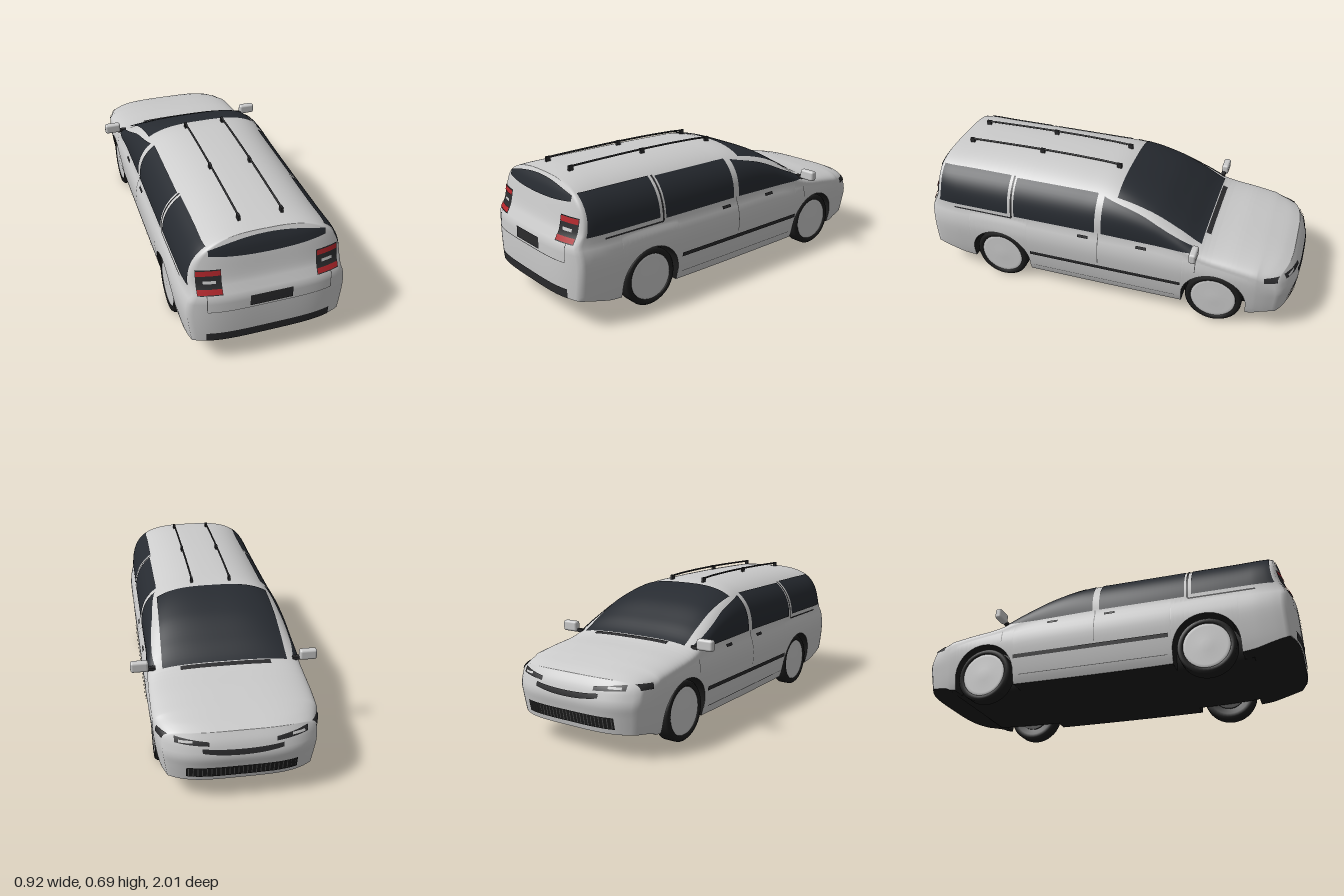
import * as THREE from 'three';
import { mergeGeometries, mergeVertices } from 'three/addons/utils/BufferGeometryUtils.js';
import { RoundedBoxGeometry } from 'three/addons/geometries/RoundedBoxGeometry.js';

const material = (color) => new THREE.MeshStandardMaterial({ color, side: THREE.DoubleSide });
const lerp = THREE.MathUtils.lerp;

// Smooth curve through [x, y] points
function curve(pts) {
  const slope = (i) => {
    const a = pts[Math.max(i - 1, 0)], b = pts[Math.min(i + 1, pts.length - 1)];
    return (b[1] - a[1]) / (b[0] - a[0]);
  };
  return (x) => {
    if (x <= pts[0][0]) return pts[0][1];
    if (x >= pts[pts.length - 1][0]) return pts[pts.length - 1][1];
    let i = 0;
    while (x > pts[i + 1][0]) i++;
    const h = pts[i + 1][0] - pts[i][0], t = (x - pts[i][0]) / h, t2 = t * t, t3 = t2 * t;
    return (2 * t3 - 3 * t2 + 1) * pts[i][1] + (t3 - 2 * t2 + t) * h * slope(i)
      + (3 * t2 - 2 * t3) * pts[i + 1][1] + (t3 - t2) * h * slope(i + 1);
  };
}

// Body rules along s, from nose (-1) to tail (+1)
const roofY = curve([[-1, .355], [-.95, .371], [-.85, .39], [-.7, .415], [-.52, .44], [-.4, .51], [-.26, .587],
  [-.06, .652], [.1, .667], [.4, .672], [.7, .667], [.9, .66], [1, .655]]);
const beltY = curve([[-1, .27], [-.85, .31], [-.7, .34], [-.5, .37], [-.3, .4], [0, .4], [1, .4]]);
const power = curve([[-1, 5], [-.85, 3.2], [-.6, 2.8], [-.4, 3.3], [-.2, 3.2], [.1, 2.6], [.7, 2.6], [1, 3]]);
const taper = curve([[-1, .9], [-.9, .95], [-.75, .985], [-.5, 1], [.8, 1], [.93, .985], [1, .96]]);
const flankX = curve([[.06, .345], [.1, .362], [.2, .38], [.3, .389], [.36, .381], [.4, .366]]);
const sillY = curve([[-1, .115], [-.85, .1], [-.78, .085], [-.4, .075], [.35, .075], [.75, .09], [1, .14]]);
const tailZ = curve([[.1, .985], [.14, 1], [.38, 1], [.41, .985], [.45, .965], [.6, .93], [.66, .9]]);
const noseZ = curve([[.1, -.97], [.2, -.99], [.25, -.997], [.31, -.98], [.36, -.95]]);
const axles = [-.6, .57], archR = .165, axleY = .145;

const rearZ = (x, y) => tailZ(y) - .06 * (x / .39) ** 4;
const frontZ = (x, y) => noseZ(y) + .12 * (x / .39) ** 4;
function place(s, x, y) {
  const k = (Math.abs(s) - .8) / .2;
  return [x, y, k <= 0 ? s : s > 0 ? lerp(.8, rearZ(x, y), k) : lerp(-.8, frontZ(x, y), k)];
}
function edgeY(s) {
  for (const a of axles) {
    const d = Math.abs(s - a);
    if (d <= archR + 1e-6) return .14 + Math.sqrt(Math.max(0, archR * archR - d * d));
  }
  return sillY(s);
}
function section(s, v) {
  const t = 1 - Math.abs(2 * v - 1), sign = v < .5 ? 1 : -1, S = beltY(s);
  if (t <= .3) {
    const y = lerp(edgeY(s), S, t / .3);
    return [sign * flankX(y) * taper(s), y];
  }
  const a = (t - .3) / .7 * Math.PI / 2, e = 2 / power(s);
  return [sign * flankX(S) * taper(s) * Math.max(0, Math.cos(a)) ** e, S + (roofY(s) - S) * Math.sin(a) ** e];
}
// Points on the body skin
function onSide(s, y) {
  const S = beltY(s), n = power(s), k = Math.min(1, (y - S) / (roofY(s) - S));
  const x = taper(s) * (y < S ? flankX(y) : flankX(S) * (1 - k ** n) ** (1 / n));
  return place(s, x, y);
}
function onTop(x, s) {
  const S = beltY(s), n = power(s), k = Math.min(1, Math.abs(x) / (flankX(S) * taper(s)));
  return place(s, x, S + (roofY(s) - S) * (1 - k ** n) ** (1 / n));
}
const onRear = (x, y) => [x, y, rearZ(x, y)];
const onFront = (x, y) => [x, y, frontZ(x, y)];

// Grid surface from a rule f(u, v), raised along its normals by lift
function grid(f, nu, nv, lift = 0) {
  const pos = [], idx = [];
  for (let j = 0; j <= nv; j++) for (let i = 0; i <= nu; i++) pos.push(...f(i / nu, j / nv));
  for (let j = 0; j < nv; j++) for (let i = 0; i < nu; i++) {
    const a = j * (nu + 1) + i, c = a + nu + 1;
    idx.push(a, a + 1, c + 1, a, c + 1, c);
  }
  const g = new THREE.BufferGeometry();
  g.setAttribute('position', new THREE.Float32BufferAttribute(pos, 3));
  g.setIndex(idx);
  g.computeVertexNormals();
  const p = g.attributes.position, n = g.attributes.normal;
  for (let i = 0; lift && i < p.count; i++)
    p.setXYZ(i, p.getX(i) + n.getX(i) * lift, p.getY(i) + n.getY(i) * lift, p.getZ(i) + n.getZ(i) * lift);
  return g;
}

export function createModel() {
  const group = new THREE.Group();
  const paint = material(0xcccccc), glass = material(0x272b31), black = material(0x1c1c1c);
  const trim = material(0x2b2b2d), red = material(0xb3262b), white = material(0xf0f0f0), seam = material(0x555555);
  const add = (name, geo, mat, x = 0, y = 0, z = 0) => {
    const m = new THREE.Mesh(geo, mat);
    m.name = name;
    m.position.set(x, y, z);
    group.add(m);
    return m;
  };
  const patch = (name, mat, f, nu = 16, nv = 8, lift = .004) => add(name, grid(f, nu, nv, lift), mat);
  const pair = (name, mat, f, nu, nv, lift) => {
    patch(name + 'Left', mat, f, nu, nv, lift);
    patch(name + 'Right', mat, (u, v) => { const p = f(1 - u, v); return [-p[0], p[1], p[2]]; }, nu, nv, lift);
  };
  const rear = (x0, x1, y0, y1) => (u, v) => onRear(lerp(x0, x1, u), lerp(y0, y1, v));
  const front = (x0, x1, y0, y1) => (u, v) => onFront(lerp(x1, x0, u), lerp(y0, y1, v));
  const side = (z0, z1, y0, y1) => (u, v) => onSide(lerp(z1, z0, u), lerp(y0, y1, v));

  // Body shell with wheel arches, closed by nose and tail
  const stations = [];
  for (let i = 0; i <= 80; i++) stations.push(1 - i / 40);
  for (const a of axles) {
    for (let k = 0; k <= 20; k++) stations.push(a + archR * Math.cos(k * Math.PI / 20));
    stations.push(a + archR + .0005, a - archR - .0005);
  }
  stations.sort((a, b) => b - a);
  const ns = stations.length - 1, at = (u) => stations[Math.round(u * ns)];
  const cap = (s) => grid((u, v) => {
    const [x, y] = section(s, v / 2);
    return place(s, lerp(-x, x, u) * s, y);
  }, 32, 40);
  const shell = grid((u, v) => place(at(u), ...section(at(u), v)), ns, 80);
  const body = mergeVertices(mergeGeometries([shell, cap(1), cap(-1)].map((g) => g.deleteAttribute('normal'))), 1e-5);
  body.computeVertexNormals();
  add('body', body, paint);

  // Underside, wheel wells and floor
  patch('underside', black, (u, v) => {
    const [x, y] = section(at(1 - v), 0);
    return place(at(1 - v), lerp(-x, x, u), y);
  }, 12, ns, 0);
  patch('floor', black, (u, v) => {
    const s = lerp(-.8, .78, v), k = Math.round(u * 3);
    return [k < 2 ? -.27 : .27, k % 3 ? sillY(s) - .002 : .31, s];
  }, 3, 30, 0);

  // Windows
  patch('windscreen', glass, (u, v) => {
    const s = lerp(-.07, -.51, v);
    return onTop(lerp(-1, 1, u) * lerp(.287, .305, v), s);
  }, 28, 24);
  patch('cowl', trim, (u, v) => onTop(lerp(-.22, .22, u), lerp(-.515, -.54, v)), 16, 2);
  pair('quarterWindow', glass, side(.51, .97, .43, .61), 20, 12);
  pair('middleWindow', glass, side(.03, .475, .42, .605), 20, 12);
  const frontWindowTop = curve([[-.48, .43], [-.36, .482], [-.2, .55], [-.005, .598]]);
  pair('frontWindow', glass, (u, v) => {
    const s = lerp(-.005, -.48, u);
    return onSide(s, lerp(lerp(.42, .41, u), frontWindowTop(s), v));
  }, 24, 12);
  patch('rearWindow', glass, (u, v) => {
    const x = lerp(-.27, .27, u);
    return onRear(x, lerp(.56 + .25 * x * x, .64 - .5 * x * x, v));
  }, 28, 10);

  // Side trim, slide rail, handles and door seams
  pair('sideMoulding', trim, side(-.43, .39, .205, .226), 30, 2, .006);
  pair('slideRail', trim, side(.49, .83, .404, .412), 16, 1);
  pair('sillSeam', seam, side(-.4, .38, .118, .121), 16, 1, .003);
  for (const z of [.01, -.5]) pair('doorSeam', seam, side(z - .002, z + .002, z < 0 ? .31 : .24, z < 0 ? .37 : .42), 1, 8, .003);
  pair('doorPillar', trim, side(.485, .495, .41, .61), 1, 12);
  for (const z of [.09, -.22]) pair('doorHandle', trim, side(z - .028, z + .028, .378, .392), 4, 2, .008);

  // Tail details
  patch('plateRecess', trim, rear(-.1, .1, .325, .38));
  patch('rearBumperStrip', trim, rear(-.295, .295, .143, .188), 24, 4);
  patch('tailgateSeam', seam, rear(-.29, .29, .313, .316), 24, 1, .003);
  pair('tailgateEdge', seam, rear(.289, .292, .316, .4), 1, 8, .003);
  pair('tailLamp', trim, rear(.22, .33, .4, .515), 10, 12);
  pair('tailLampUpper', red, rear(.222, .328, .487, .511), 10, 3, .007);
  pair('tailLampLower', red, rear(.222, .328, .404, .426), 10, 4, .007);
  pair('reverseLamp', white, rear(.245, .3, .45, .464), 6, 2, .007);

  // Nose details
  pair('headlamp', trim, (u, v) => {
    const k = 1 - u;
    return onFront(lerp(.15, .297, k), lerp(lerp(.303, .313, k), lerp(.32, .338, k), v));
  }, 14, 4);
  pair('headlampWrap', trim, side(-1, -.9, .313, .338), 10, 4);
  pair('headlampLens', white, front(.22, .28, .316, .326), 8, 2, .007);
  patch('upperGrille', trim, (u, v) => {
    const x = lerp(.18, -.18, u), rise = .5 * x * x;
    return onFront(x, lerp(.258 + rise, .284 + rise * .6, v));
  }, 24, 4);
  patch('lowerGrille', black, front(-.25, .25, .14, .195), 24, 6);
  for (let i = -12; i <= 12; i++) patch('grilleSlat', seam, front(i * .02 - .002, i * .02 + .002, .143, .192), 1, 6, .007);

  // Roof rails with feet
  for (const x of [-.1, .1]) {
    const pts = [];
    for (let i = 0; i <= 12; i++) {
      const [, y, z] = onTop(x, lerp(-.02, .83, i / 12));
      pts.push(new THREE.Vector3(x, y + .019, z));
    }
    add('roofRail', new THREE.TubeGeometry(new THREE.CatmullRomCurve3(pts), 32, .005, 8), trim);
    for (const i of [0, 6, 12]) add('railFoot', new THREE.BoxGeometry(.012, .028, .024), trim, x, pts[i].y - .009, pts[i].z);
  }

  // Wheels and door mirrors
  const vec = (list) => list.map(([x, y]) => new THREE.Vector2(x, y));
  const tyre = new THREE.LatheGeometry(vec([[.08, -.03], [.115, -.04], [.135, -.04], [.145, -.029], [.145, .029],
    [.135, .04], [.118, .04], [.114, .03]]), 40);
  const rim = new THREE.LatheGeometry(vec([[.117, .03], [.112, .037], [.1, .034], [.03, .038], [0, .038]]), 40);
  for (const sx of [-1, 1]) {
    for (const z of axles) {
      for (const [name, geo, mat] of [['tyre', tyre, black], ['rim', rim, paint]])
        add(name, geo, mat, sx * .33, axleY, z).rotation.z = -sx * Math.PI / 2;
      add('hub', new THREE.CylinderGeometry(.085, .085, .05, 24), black, sx * .315, axleY, z).rotation.z = Math.PI / 2;
    }
    add('doorMirror', new RoundedBoxGeometry(.087, .054, .036, 3, .012), paint, sx * .414, .443, -.495);
    add('mirrorStalk', new THREE.BoxGeometry(.05, .016, .022), trim, sx * .362, .424, -.49);
  }
  return group;
}
